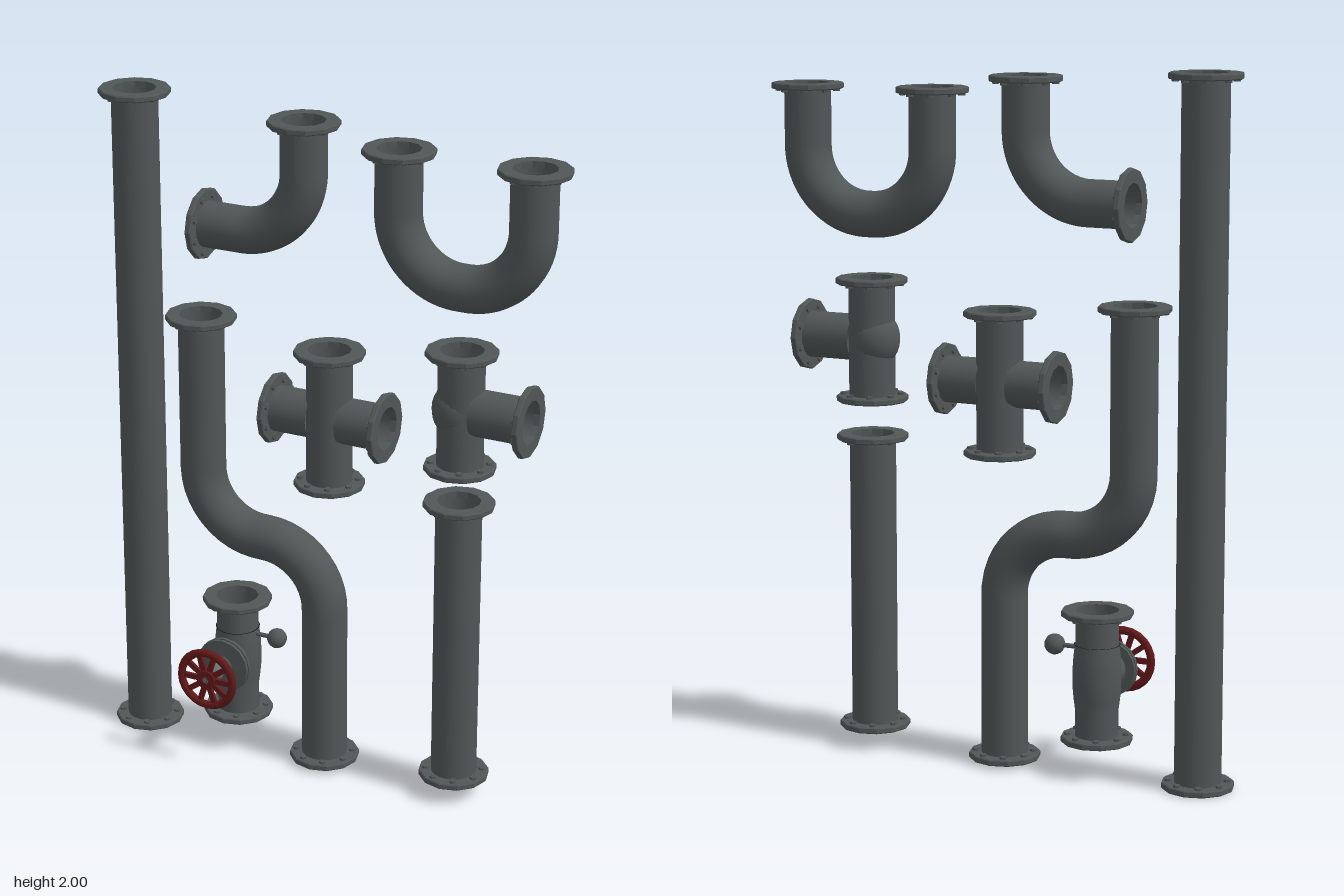
import * as THREE from 'three';
import { toCreasedNormals } from 'three/addons/utils/BufferGeometryUtils.js';

const iron = new THREE.MeshStandardMaterial({ color: 0x515657, side: THREE.DoubleSide });
iron.name = 'dark iron';
const steel = new THREE.MeshStandardMaterial({ color: 0x686d6e });
steel.name = 'steel';
const red = new THREE.MeshStandardMaterial({ color: 0x641919 });
red.name = 'red paint';
const black = new THREE.MeshStandardMaterial({ color: 0x0c0c0c });
black.name = 'black bore';

const R = 0.067; // pipe radius

const V = (x, y, z = 0) => new THREE.Vector3(x, y, z);

function add(parent, name, geometry, material, x = 0, y = 0, z = 0) {
  const mesh = new THREE.Mesh(geometry, material);
  mesh.name = name;
  mesh.position.set(x, y, z);
  parent.add(mesh);
  return mesh;
}

function lathe(points, sides, start = 0) {
  return new THREE.LatheGeometry(points.map(p => new THREE.Vector2(...p)), sides, start);
}

// Twelve-sided ring; its open face lies on y = 0 and looks along +y
const flangeGeometry = toCreasedNormals(lathe([
  [0.063, -0.018], [0.101, -0.018], [0.1035, -0.015], [0.1035, -0.003],
  [0.101, 0], [0.063, 0], [0.063, -0.018],
], 12, Math.PI / 2), 0.3);
const boltGeometry = toCreasedNormals(new THREE.CylinderGeometry(0.01, 0.01, 0.008, 6), 0.5);
const boreGeometry = new THREE.CircleGeometry(0.066, 24).rotateX(-Math.PI / 2);

// Bolted end flange with a dark bore behind it, turned by angle about z
function flange(parent, x, y, angle = 0) {
  const group = new THREE.Group();
  group.name = 'flange';
  group.position.set(x, y, 0);
  group.rotation.z = angle;
  add(group, 'flangeRing', flangeGeometry, iron);
  add(group, 'bore', boreGeometry, black, 0, -0.1, 0);
  for (let i = 0; i < 8; i++) {
    const a = (i + 0.5) * Math.PI / 4;
    add(group, 'bolt', boltGeometry, iron, 0.083 * Math.cos(a), -0.021, 0.083 * Math.sin(a));
  }
  parent.add(group);
}

const UP = 0, DOWN = Math.PI, LEFT = -Math.PI / 2, RIGHT = Math.PI / 2;

// Straight open pipe between two points
function straight(parent, a, b) {
  const geo = new THREE.CylinderGeometry(R, R, a.distanceTo(b), 24, 1, true);
  const mesh = add(parent, 'pipe', geo, iron);
  mesh.position.copy(a).lerp(b, 0.5);
  mesh.quaternion.setFromUnitVectors(V(0, 1), b.clone().sub(a).normalize());
}

// Bent pipe through corner points, each corner rounded with the given radius
function bent(parent, pts, radius) {
  const path = new THREE.CurvePath();
  let from = pts[0];
  const line = to => {
    if (from.distanceTo(to) > 0.003) path.add(new THREE.LineCurve3(from, to));
  };
  for (let i = 1; i < pts.length - 1; i++) {
    const c = pts[i];
    const toward = (p, d) => c.clone().add(p.clone().sub(c).setLength(d));
    const start = toward(pts[i - 1], radius), end = toward(pts[i + 1], radius);
    line(start);
    path.add(new THREE.CubicBezierCurve3(start,
      toward(pts[i - 1], radius * 0.448), toward(pts[i + 1], radius * 0.448), end));
    from = end;
  }
  line(pts[pts.length - 1]);
  add(parent, 'bentPipe', new THREE.TubeGeometry(path, 56, R, 24), iron);
}

function part(parent, name) {
  const group = new THREE.Group();
  group.name = name;
  parent.add(group);
  return group;
}

function verticalPipe(parent, name, x, bottom, top) {
  const g = part(parent, name);
  straight(g, V(x, bottom + 0.002), V(x, top - 0.002));
  flange(g, x, top, UP);
  flange(g, x, bottom, DOWN);
  return g;
}

function handWheel(parent) {
  const wheel = part(parent, 'handWheel');
  wheel.position.z = 0.195;
  const rim = add(wheel, 'rim', new THREE.TorusGeometry(0.085, 0.0125, 8, 24), red);
  rim.scale.z = 0.85;
  const hub = add(wheel, 'hub', new THREE.CylinderGeometry(0.03, 0.03, 0.02, 16), red);
  hub.rotation.x = Math.PI / 2;
  for (let i = 0; i < 10; i++) {
    const a = i * Math.PI / 5;
    const spoke = add(wheel, 'spoke', new THREE.BoxGeometry(0.06, 0.016, 0.01), red,
      0.052 * Math.cos(a), 0.052 * Math.sin(a));
    spoke.rotation.z = a;
  }
}

function valve(parent) {
  const g = part(parent, 'gateValve');
  g.position.set(-0.305, 0.288, 0);
  // Slightly swollen body
  add(g, 'valveBody', lathe([
    [0.062, -0.19], [0.062, -0.1], [0.066, -0.07], [0.069, -0.04], [0.07, 0],
    [0.069, 0.04], [0.066, 0.07], [0.062, 0.1], [0.062, 0.19],
  ], 24), iron);
  flange(g, 0, 0.192, UP);
  flange(g, 0, -0.193, DOWN);
  // Bonnet, packing gland and stem along +z
  const bonnet = add(g, 'bonnet', toCreasedNormals(lathe([
    [0.056, 0.03], [0.056, 0.077], [0.083, 0.077], [0.083, 0.087], [0.07, 0.087],
    [0.07, 0.092], [0.083, 0.092], [0.083, 0.102], [0.035, 0.104], [0.02, 0.118], [0, 0.118],
  ], 16), 0.5), iron);
  bonnet.rotation.x = Math.PI / 2;
  const stem = add(g, 'stem', new THREE.CylinderGeometry(0.01, 0.01, 0.11, 12), steel, 0, 0, 0.15);
  stem.rotation.x = Math.PI / 2;
  add(g, 'glandBall', new THREE.SphereGeometry(0.027, 12, 8), steel, 0, 0, 0.144);
  const collar = add(g, 'stemCollar', new THREE.CylinderGeometry(0.018, 0.018, 0.012, 12), steel, 0, 0, 0.174);
  collar.rotation.x = Math.PI / 2;
  handWheel(g);
  // Side knob on a thin arm
  const arm = add(g, 'knobArm', new THREE.CylinderGeometry(0.007, 0.007, 0.07, 8), iron, 0.085, 0.077);
  arm.rotation.z = Math.PI / 2;
  add(g, 'knob', new THREE.SphereGeometry(0.03, 12, 10), iron, 0.132, 0.077);
}

export function createModel() {
  const model = new THREE.Group();
  model.name = 'pipeSet';
  const set = part(model, 'pipes');
  set.position.set(0.003, 0, -0.05);

  verticalPipe(set, 'longPipe', -0.615, 0, 2);
  verticalPipe(set, 'shortPipe', 0.408, 0.052, 0.93);

  const elbow = part(set, 'elbow');
  bent(elbow, [V(-0.08, 1.975), V(-0.08, 1.63), V(-0.402, 1.63)], 0.195);
  flange(elbow, -0.08, 1.977, UP);
  flange(elbow, -0.405, 1.63, RIGHT);

  const uBend = part(set, 'uBend');
  bent(uBend, [V(0.21, 1.934), V(0.21, 1.566), V(0.61, 1.566), V(0.61, 1.934)], 0.19);
  flange(uBend, 0.21, 1.936, UP);
  flange(uBend, 0.61, 1.936, UP);

  const sBend = part(set, 'sBend');
  bent(sBend, [V(-0.413, 1.352), V(-0.413, 0.688), V(-0.015, 0.688), V(-0.015, 0.012)], 0.19);
  flange(sBend, -0.413, 1.354, UP);
  flange(sBend, -0.015, 0.01, DOWN);

  const cross = verticalPipe(set, 'crossFitting', 0, 0.898, 1.315);
  for (const [side, angle] of [[1, LEFT], [-1, RIGHT]]) {
    straight(cross, V(side * 0.045, 1.107), V(side * 0.18, 1.107));
    flange(cross, side * 0.182, 1.107, angle);
  }

  // Tee, swollen on the side away from its branch
  const tee = verticalPipe(set, 'teeFitting', 0.408, 1.025, 1.385);
  const bulge = add(tee, 'teeBulge', new THREE.SphereGeometry(0.073, 20, 14), iron, 0.398, 1.207);
  bulge.scale.y = 1.15;
  straight(tee, V(0.455, 1.207), V(0.618, 1.207));
  flange(tee, 0.62, 1.207, LEFT);

  valve(set);
  return model;
}
